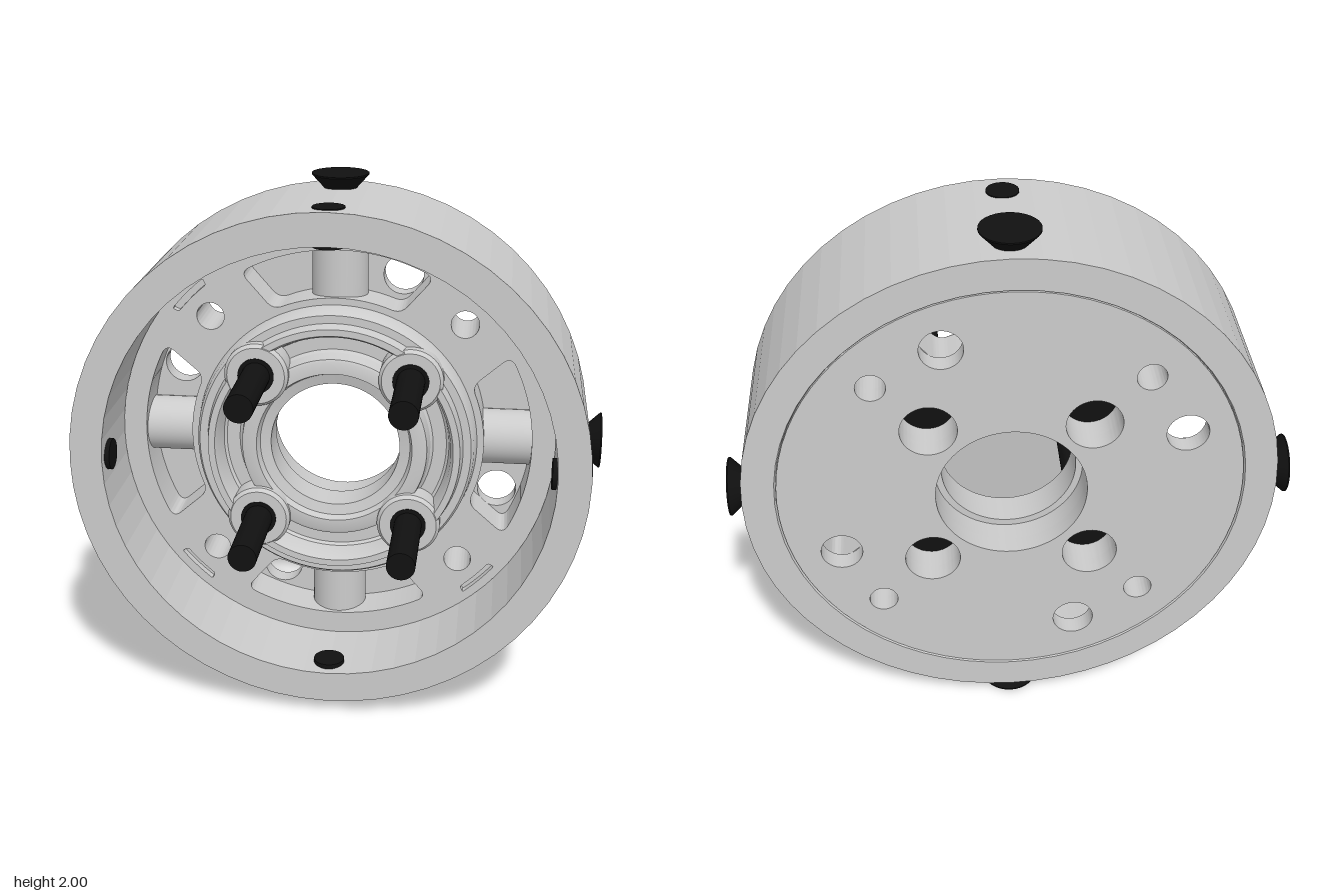
import * as THREE from 'three';
import { toCreasedNormals } from 'three/addons/utils/BufferGeometryUtils.js';

const grey = new THREE.MeshStandardMaterial({ color: 0xcccccc });
const greyFlat = new THREE.MeshStandardMaterial({ color: 0xcccccc, flatShading: true });
const black = new THREE.MeshStandardMaterial({ color: 0x111111 });
const Q = Math.PI / 2;
const deg = Math.PI / 180;

function add(parent, name, geometry, material = grey) {
  const mesh = new THREE.Mesh(geometry, material);
  mesh.name = name;
  parent.add(mesh);
  return mesh;
}

// Solid of revolution about z; each profile point is [radius, z], counter-clockwise
function turned(profile, segments = 96) {
  const pts = [...profile, profile[0]].map(([r, z]) => new THREE.Vector2(r, z));
  return toCreasedNormals(new THREE.LatheGeometry(pts, segments).rotateX(Q), 0.5);
}

// Point at radius r and angle a, turned by t quarter turns
const polar = (r, a) => new THREE.Vector2(r * Math.cos(a), r * Math.sin(a));

function circle(r, x = 0, y = 0) {
  return new THREE.Path().absarc(x, y, r, 0, Math.PI * 2, true);
}

// Four copies of a round hole, one per quarter turn
function fourHoles(r, x, y) {
  return [0, 1, 2, 3].map((t) => {
    const p = new THREE.Vector2(x, y).rotateAround(new THREE.Vector2(), t * Q);
    return circle(r, p.x, p.y);
  });
}

// Annular sector with rounded corners, half angles given at the inner and outer arc
function sector(rIn, rOut, halfIn, halfOut, mid, round) {
  const path = new THREE.Path();
  const gO = round / rOut, gI = round / rIn;
  const at = (r, a) => polar(r, mid + a);
  const corner = (c, p) => path.quadraticCurveTo(c.x, c.y, p.x, p.y);
  path.absarc(0, 0, rOut, mid - halfOut + gO, mid + halfOut - gO, false);
  const c1 = at(rOut, halfOut), c2 = at(rIn, halfIn), c3 = at(rIn, -halfIn), c4 = at(rOut, -halfOut);
  const k = round / c1.distanceTo(c2);
  corner(c1, c1.clone().lerp(c2, k));
  const e = c2.clone().lerp(c1, k);
  path.lineTo(e.x, e.y);
  corner(c2, at(rIn, halfIn - gI));
  path.absarc(0, 0, rIn, mid + halfIn - gI, mid - halfIn + gI, true);
  corner(c3, c3.clone().lerp(c4, k));
  const f = c4.clone().lerp(c3, k);
  path.lineTo(f.x, f.y);
  corner(c4, at(rOut, -halfOut + gO));
  return path;
}

// Disc slab between two z heights with holes cut through
function slab(r, z0, z1, holes) {
  const shape = new THREE.Shape().absarc(0, 0, r, 0, Math.PI * 2, false);
  shape.holes.push(...holes);
  const g = new THREE.ExtrudeGeometry(shape, { depth: z1 - z0, bevelEnabled: false, curveSegments: 40 });
  return toCreasedNormals(g.translate(0, 0, z0), 0.6);
}

export function createModel() {
  const root = new THREE.Group();
  root.name = 'wheelAdapter';
  const body = new THREE.Group();
  body.name = 'body';
  body.position.y = 1;
  root.add(body);

  // Outer ring
  const ring = [[0.835, -0.355], [0.95, -0.355], [0.95, 0.21], [0.83, 0.21], [0.83, -0.345]];
  const ringPts = [...ring, ring[0]].map(([r, z]) => new THREE.Vector2(r, z));
  add(body, 'outerRing', new THREE.LatheGeometry(ringPts, 60).rotateX(Q), greyFlat);

  // Plate: drilled back layer, pocketed middle layer, thin slotted front layer
  const B = 0.287;
  const bore = circle(0.27);
  const counterbores = fourHoles(0.1, B, B);
  const pinHoles = fourHoles(0.052, 0.475, 0.475);
  const pockets = [0, 1, 2, 3].map((t) => sector(0.56, 0.74, 25 * deg, 29 * deg, t * Q, 0.04));
  const slots = [0, 1, 2, 3].map((t) => sector(0.77, 0.795, 5.5 * deg, 6 * deg, (t + 0.5) * Q, 0.008));
  add(body, 'plateBack', slab(0.828, -0.352, -0.28,
    [bore, ...counterbores, ...pinHoles, ...fourHoles(0.075, 0.235, 0.615)]));
  add(body, 'plateMiddle', slab(0.828, -0.28, -0.15, [bore, ...counterbores, ...pinHoles, ...pockets]));
  add(body, 'plateFront', slab(0.828, -0.15, -0.12,
    [bore, ...counterbores, ...pinHoles, ...pockets, ...slots]));

  // Raised hub with a stepped rim, an annular trough and a stepped bore
  add(body, 'hub', turned([
    [0.275, -0.2], [0.275, -0.125], [0.535, -0.125], [0.525, -0.06], [0.515, -0.045],
    [0.485, -0.045], [0.475, 0], [0.45, 0], [0.44, -0.02], [0.43, -0.09], [0.42, -0.1],
    [0.37, -0.1], [0.36, -0.09], [0.35, -0.035], [0.34, -0.03], [0.295, -0.03],
    [0.285, -0.06], [0.245, -0.07], [0.245, -0.2],
  ]));

  // Parts repeated every quarter turn
  for (let t = 0; t < 4; t++) {
    const quarter = new THREE.Group();
    quarter.name = 'quarter' + (t + 1);
    quarter.rotation.z = t * Q;
    body.add(quarter);

    // Stud with its boss and its head in the rear counterbore
    const boss = add(quarter, 'studBoss', turned([
      [0.06, -0.13], [0.12, -0.13], [0.12, -0.012], [0.108, 0.003], [0.06, 0.003],
    ], 40));
    boss.position.set(B, B, 0);
    const stud = add(quarter, 'stud', turned([
      [0, -0.2], [0.098, -0.2], [0.098, -0.122], [0.068, -0.122], [0.068, 0.006],
      [0.053, 0.006], [0.053, 0.36], [0, 0.36],
    ], 32), black);
    stud.position.set(B, B, 0);

    // Radial rib across the pocket that takes the side screw
    const rib = add(quarter, 'screwRib', new THREE.CylinderGeometry(0.105, 0.105, 0.24, 40));
    rib.position.set(0, 0.645, -0.24);

    // Countersunk side screw, its head standing proud of the ring
    const side = [[0, 0.75], [0.055, 0.75], [0.055, 0.94], [0.105, 0.995], [0.105, 1], [0, 1]]
      .map(([r, y]) => new THREE.Vector2(r, y));
    const screw = add(quarter, 'sideScrew',
      toCreasedNormals(new THREE.LatheGeometry(side, 32), 0.5), black);
    screw.position.z = -0.24;

    // Set screw running through the front of the ring
    const setScrew = add(quarter, 'setScrew', new THREE.CylinderGeometry(0.058, 0.058, 0.141, 32), black);
    setScrew.position.set(0, 0.8815, 0.12);
  }
  return root;
}
